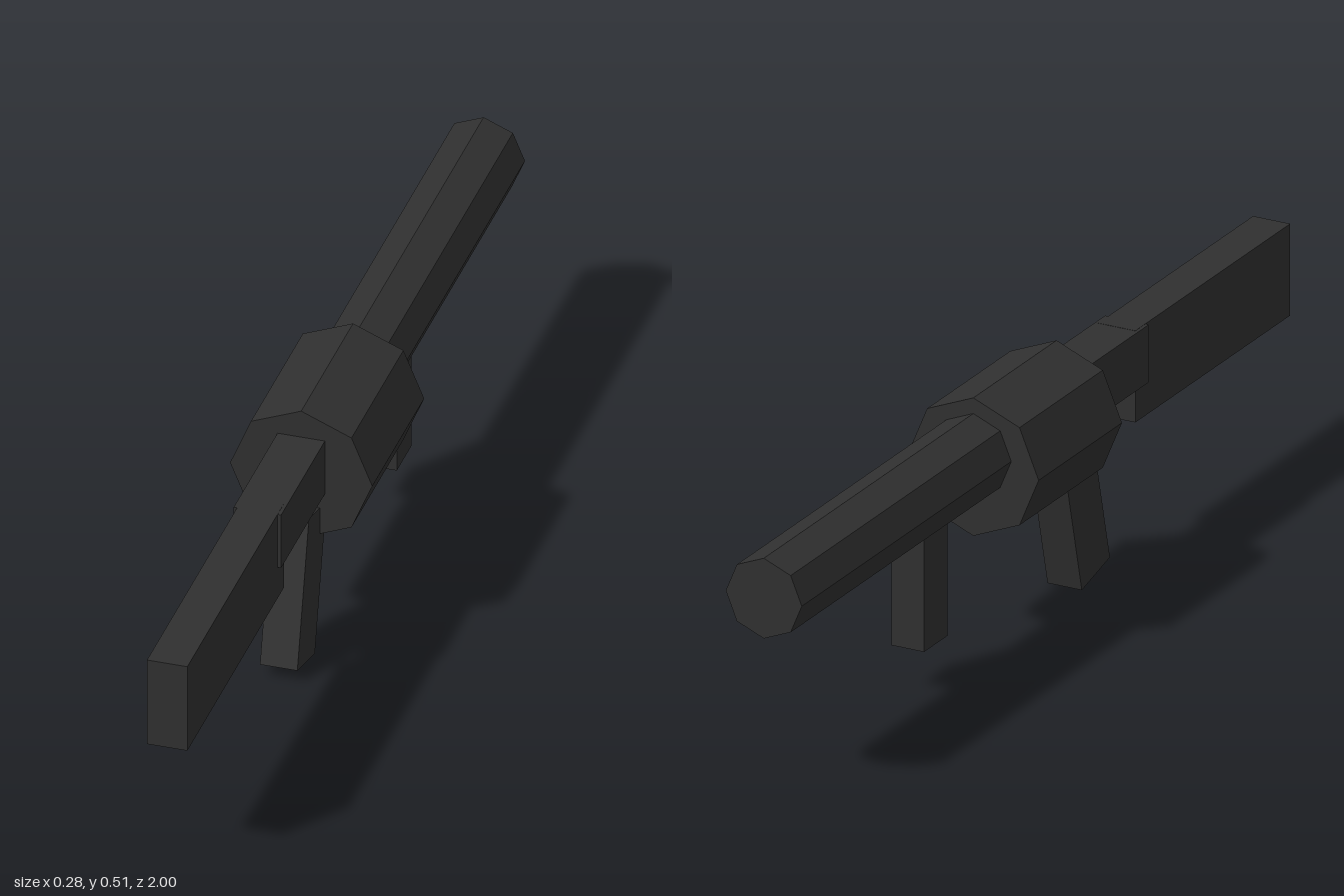
import * as THREE from 'three';

export function createModel() {
  const group = new THREE.Group();
  const charcoal = new THREE.MeshStandardMaterial({ color: 0x303030, flatShading: true });
  charcoal.name = 'charcoal';

  const add = (name, geometry, x, y, z) => {
    const mesh = new THREE.Mesh(geometry, charcoal);
    mesh.name = name;
    mesh.position.set(x, y, z);
    group.add(mesh);
    return mesh;
  };

  // Block centred on x = 0, given by its width and its y and z ranges
  const block = (name, width, y0, y1, z0, z1) =>
    add(name, new THREE.BoxGeometry(width, y1 - y0, z1 - z0), 0, (y0 + y1) / 2, (z0 + z1) / 2);

  // Eight-sided prism lying along z, with a corner pointing up
  const prism = (name, radius, y, z0, z1) =>
    add(name, new THREE.CylinderGeometry(radius, radius, z1 - z0, 8).rotateX(Math.PI / 2), 0, y, (z0 + z1) / 2);

  // Tube and drum
  prism('barrel', 0.082, 0.402, -1, -0.15);
  prism('drum', 0.141, 0.375, -0.175, 0.153);

  // Stock and the neck joining it to the drum
  block('stockNeck', 0.094, 0.34, 0.458, 0.1, 0.43);
  block('stock', 0.08, 0.271, 0.4585, 0.39, 1);

  // Handles: a slanted rear grip and an upright front one
  const grip = add('rearGrip', new THREE.BoxGeometry(0.074, 0.304, 0.114), 0, 0.1625, 0.2035);
  grip.rotation.x = -0.243;
  block('frontGrip', 0.07, 0.096, 0.36, -0.433, -0.34);

  return group;
}
